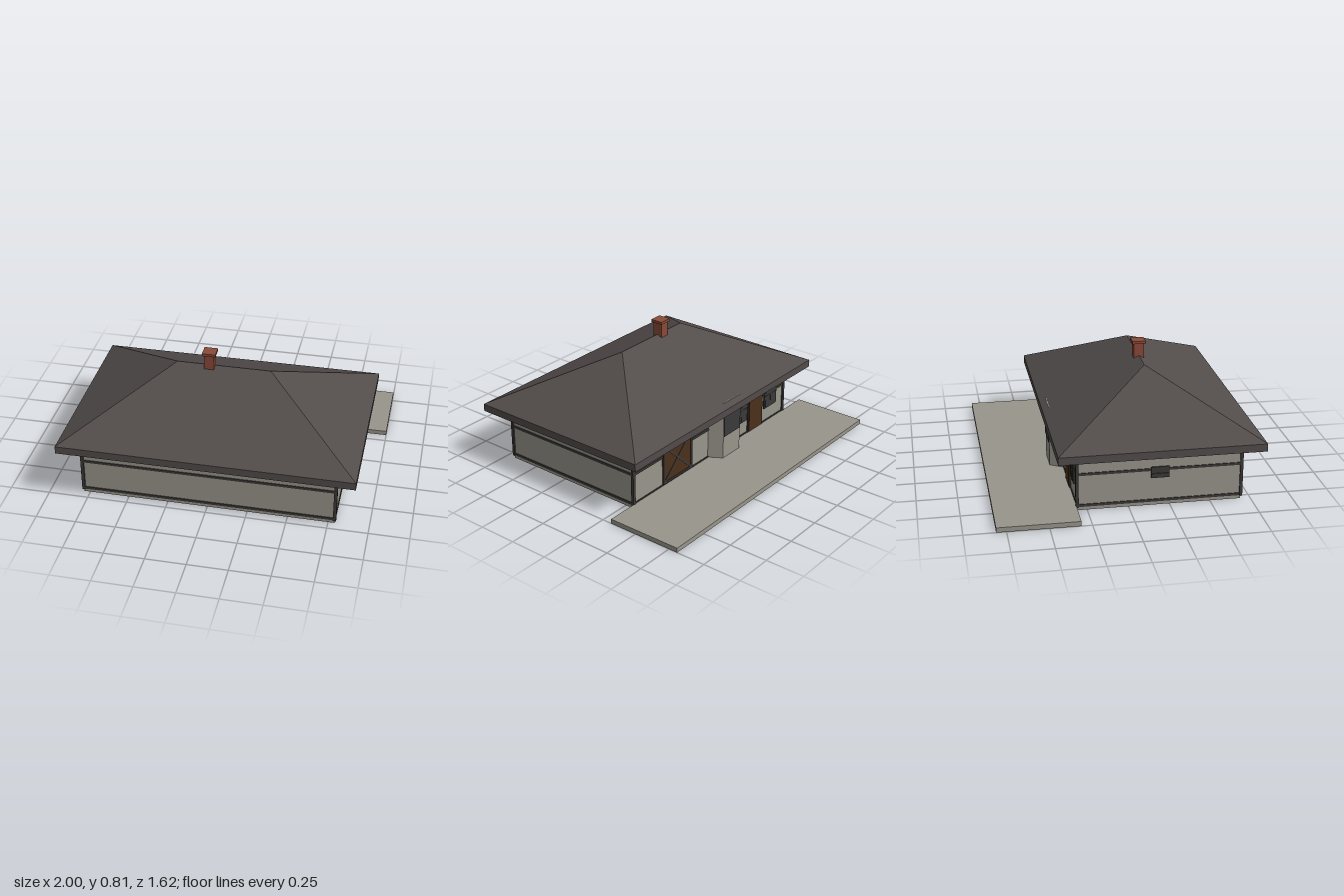
import * as THREE from 'three';

const mat = (name, color) => {
  const m = new THREE.MeshStandardMaterial({ color });
  m.name = name;
  return m;
};

export function createModel() {
  const plaster = mat('plaster', 0x98958b);
  const roofing = mat('roofing', 0x524c4b);
  const timber = mat('timber', 0x3c3936);
  const brick = mat('brick', 0x8a4a38);
  const wood = mat('doorWood', 0x4a2f1a);
  const glass = mat('glass', 0x3a3a3b);

  const model = new THREE.Group();
  model.name = 'house';

  const add = (name, geometry, material, parent = model) => {
    const mesh = new THREE.Mesh(geometry, material);
    mesh.name = name;
    parent.add(mesh);
    return mesh;
  };
  // Box given by its limits on each axis
  const box = (name, material, [x0, x1], [y0, y1], [z0, z1], parent) => {
    const g = new THREE.BoxGeometry(x1 - x0, y1 - y0, z1 - z0);
    g.translate((x0 + x1) / 2, (y0 + y1) / 2, (z0 + z1) / 2);
    return add(name, g, material, parent);
  };
  const group = (name) => {
    const g = new THREE.Group();
    g.name = name;
    model.add(g);
    return g;
  };

  const W = 0.79, ZB = -0.31, ZF = 0.69;

  // Walls and platform
  box('walls', plaster, [-W, W], [0, 0.36], [ZB, ZF]);
  box('platform', plaster, [-1, 1], [0, 0.03], [-0.81, -0.315]);

  // Corner posts and horizontal timber bands
  const frame = group('timberFrame');
  for (const sx of [-1, 1]) {
    for (const z of [ZB, ZF]) {
      const x = sx * (W - 0.001);
      box('cornerPost', timber, [x - 0.01, x + 0.01], [0.02, 0.355], [z - 0.009, z + 0.009], frame);
    }
  }
  for (const y of [0.03, 0.231]) {
    const h = [y - 0.008, y + 0.008];
    for (const z of [ZB, ZF]) box('longBand', timber, [-W, W], h, [z - 0.005, z + 0.005], frame);
    for (const x of [-W, W]) box('sideBand', timber, [x - 0.005, x + 0.005], h, [ZB, ZF], frame);
  }

  // Hipped roof: a closed eave slab with four slopes meeting at the ridge
  const EX = 0.915, E0 = -0.435, E1 = 0.81, EY = 0.4;
  box('eave', roofing, [-EX, EX], [0.352, EY], [E0, E1]);
  const a = [-EX, EY, E1], b = [EX, EY, E1], c = [EX, EY, E0], d = [-EX, EY, E0];
  const r = [0.295, 0.715, 0.188], l = [-0.295, 0.715, 0.188];
  const faces = [a, b, r, a, r, l, b, c, r, c, d, l, c, l, r, d, a, l];
  const roofGeo = new THREE.BufferGeometry();
  roofGeo.setAttribute('position', new THREE.Float32BufferAttribute(faces.flat(), 3));
  roofGeo.computeVertexNormals();
  add('hippedRoof', roofGeo, roofing);

  // Chimney
  const chimney = group('chimney');
  box('stack', brick, [-0.12, -0.056], [0.66, 0.797], [0.156, 0.22], chimney);
  box('cap', brick, [-0.13, -0.046], [0.795, 0.812], [0.146, 0.23], chimney);

  // Triangular eave brackets along front and back
  const tri = new THREE.Shape();
  tri.moveTo(0, 0.285);
  tri.lineTo(0.1, 0.337);
  tri.lineTo(0.1, 0.353);
  tri.lineTo(0, 0.353);
  tri.closePath();
  const bracketGeo = new THREE.ExtrudeGeometry(tri, { depth: 0.014, bevelEnabled: false });
  bracketGeo.translate(0, 0, -0.007);
  const brackets = group('eaveBrackets');
  for (let i = 0; i < 6; i++) {
    const x = -0.718 + i * 0.25;
    const f = add('frontBracket', bracketGeo, timber, brackets);
    f.position.set(x, 0, ZF);
    f.rotation.y = -Math.PI / 2;
    const k = add('backBracket', bracketGeo, timber, brackets);
    k.position.set(x, 0, ZB);
    k.rotation.y = Math.PI / 2;
  }

  // Bay with slanted sides, its top edge just breaking through the roof
  const bay = group('bay');
  const plan = new THREE.Shape();
  [[-0.223, 0.3], [0.053, 0.3], [0.053, 0.312], [0.003, 0.395], [-0.173, 0.395], [-0.223, 0.312]]
    .forEach(([x, y], i) => (i ? plan.lineTo(x, y) : plan.moveTo(x, y)));
  const bayGeo = new THREE.ExtrudeGeometry(plan, { depth: 0.423, bevelEnabled: false });
  bayGeo.rotateX(-Math.PI / 2);
  add('bayWalls', bayGeo, plaster, bay);
  box('bayWindow', glass, [-0.17, 0], [0.183, 0.335], [-0.4, -0.394], bay);

  // Wide sliding door with crossed braces
  const barn = group('freightDoor');
  const [dx0, dx1, dy0, dy1] = [0.23, 0.515, 0.04, 0.31];
  box('doorPanel', wood, [dx0, dx1], [dy0, dy1], [-0.319, -0.31], barn);
  for (const x of [dx0, dx1 - 0.014]) box('doorStile', timber, [x, x + 0.014], [dy0, dy1], [-0.323, -0.317], barn);
  for (const y of [dy0, dy1 - 0.014]) box('doorRail', timber, [dx0, dx1], [y, y + 0.014], [-0.323, -0.317], barn);
  const dw = dx1 - dx0, dh = dy1 - dy0;
  for (const s of [-1, 1]) {
    const brace = add('doorBrace', new THREE.BoxGeometry(Math.hypot(dw, dh) - 0.03, 0.013, 0.005), timber, barn);
    brace.position.set((dx0 + dx1) / 2, (dy0 + dy1) / 2, -0.32);
    brace.rotation.z = s * Math.atan2(dh, dw);
  }

  // Entrance door
  const door = group('entranceDoor');
  box('doorFrame', timber, [-0.54, -0.376], [0.03, 0.315], [-0.318, -0.31], door);
  box('doorPanel', wood, [-0.531, -0.385], [0.035, 0.305], [-0.323, -0.315], door);

  // Windows either side of the entrance
  for (const [x0, x1] of [[-0.365, -0.232], [-0.7, -0.56]]) {
    const win = group('window');
    const mid = (x0 + x1) / 2;
    box('windowFrame', timber, [x0, x1], [0.13, 0.31], [-0.319, -0.311], win);
    box('windowPane', glass, [x0 + 0.012, x1 - 0.012], [0.142, 0.298], [-0.321, -0.316], win);
    box('windowMullion', timber, [mid - 0.004, mid + 0.004], [0.142, 0.298], [-0.323, -0.318], win);
    box('windowBar', timber, [x0, x1], [0.216, 0.224], [-0.323, -0.318], win);
  }

  // Small window on the right side wall
  const vent = group('sideWindow');
  box('sideWindowFrame', timber, [-0.802, -0.793], [0.18, 0.25], [0.135, 0.245], vent);
  box('sideWindowSill', timber, [-0.808, -0.8], [0.196, 0.21], [0.135, 0.245], vent);

  return model;
}
